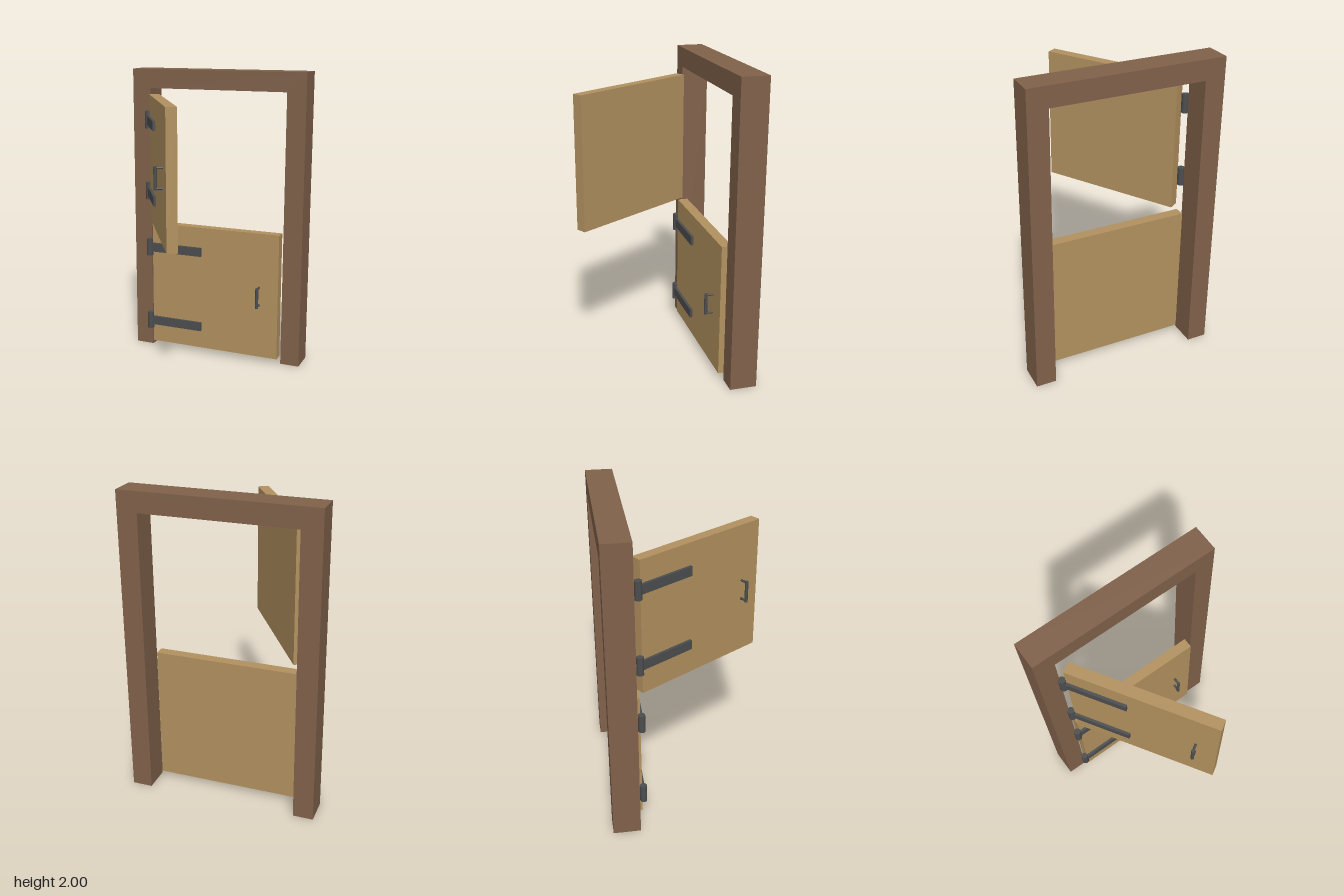
import * as THREE from 'three';

const mat = (name, color) => {
  const m = new THREE.MeshStandardMaterial({ color });
  m.name = name;
  return m;
};

export function createModel() {
  const frameWood = mat('dark frame wood', 0x80614a);
  const doorWood = mat('light door wood', 0xb2915f);
  const iron = mat('dark iron', 0x4c4d4e);

  const add = (parent, name, geometry, material, x, y, z) => {
    const mesh = new THREE.Mesh(geometry, material);
    mesh.name = name;
    mesh.position.set(x, y, z);
    parent.add(mesh);
    return mesh;
  };

  // Pull handle: upright grip on two round prongs
  const makeHandle = () => {
    const handle = new THREE.Group();
    handle.name = 'handle';
    add(handle, 'handleGrip', new THREE.CylinderGeometry(0.011, 0.011, 0.144, 12), iron, 0, 0, 0.047);
    for (const side of [-1, 1]) {
      const prong = add(handle, 'handleProng', new THREE.CylinderGeometry(0.008, 0.008, 0.05, 10), iron, 0, side * 0.063, 0.025);
      prong.rotation.x = Math.PI / 2;
    }
    return handle;
  };

  // Door leaf whose origin lies on the hinge axis
  const makeDoor = (name, bottom, top, hingeHeights, handleY, angle) => {
    const door = new THREE.Group();
    door.name = name;
    door.position.set(-0.49, 0, -0.3);
    door.rotation.y = -THREE.MathUtils.degToRad(angle);
    add(door, 'doorPanel', new THREE.BoxGeometry(0.94, top - bottom, 0.069), doorWood, 0.49, (top + bottom) / 2, -0.0405);
    for (const y of hingeHeights) {
      add(door, 'hingeBarrel', new THREE.CylinderGeometry(0.023, 0.023, 0.12, 16), iron, 0, y, 0);
      add(door, 'hingeStrap', new THREE.BoxGeometry(0.398, 0.062, 0.023), iron, 0.199, y, 0.0005);
    }
    const handle = makeHandle();
    handle.position.set(0.826, handleY, -0.004);
    door.add(handle);
    return door;
  };

  const model = new THREE.Group();
  model.name = 'stableDoor';

  // Door frame: two posts and a lintel, open at the bottom
  const outline = new THREE.Shape([
    [-0.62, 0], [-0.49, 0], [-0.49, 1.87], [0.49, 1.87],
    [0.49, 0], [0.62, 0], [0.62, 2], [-0.62, 2],
  ].map(([x, y]) => new THREE.Vector2(x, y)));
  add(model, 'doorFrame', new THREE.ExtrudeGeometry(outline, { depth: 0.176, bevelEnabled: false }), frameWood, 0, 0, -0.512);

  // Closed lower leaf and open upper leaf
  model.add(makeDoor('lowerDoor', 0.04, 0.925, [0.2, 0.75], 0.482, 0));
  model.add(makeDoor('upperDoor', 0.957, 1.832, [1.16, 1.657], 1.395, 58));
  return model;
}
